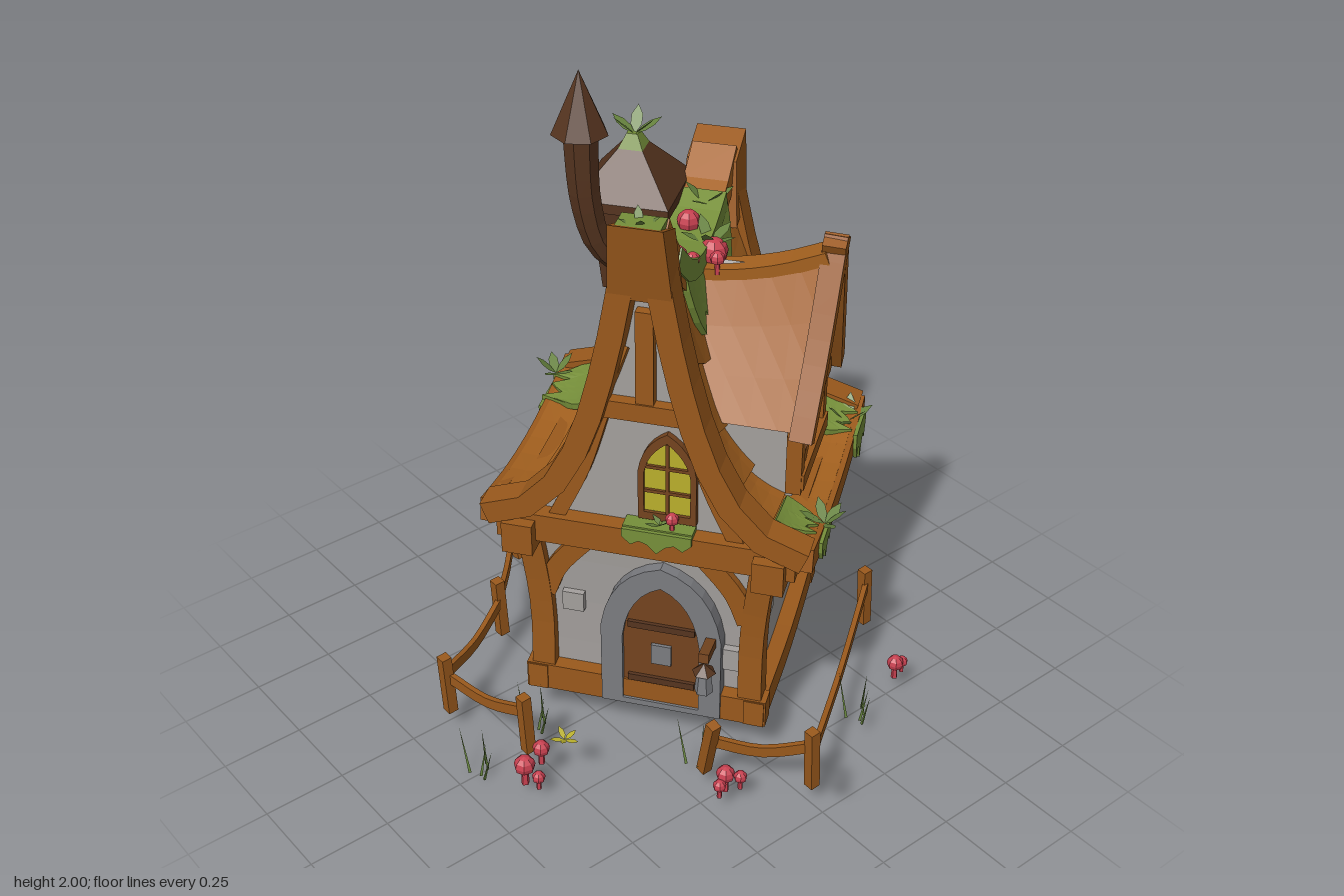
import * as THREE from 'three';

const V = (x, y, z) => new THREE.Vector3(x, y, z);
const X = V(1, 0, 0), Y = V(0, 1, 0), Z = V(0, 0, 1);
const mat = (name, color, side = THREE.FrontSide) => Object.assign(new THREE.MeshStandardMaterial({ color, side }), { name });

// Box whose vertices are moved by a rule; x, y, z run from -0.5 to 0.5
function warp(nx, ny, nz, fn) {
  const g = new THREE.BoxGeometry(1, 1, 1, nx, ny, nz), p = g.attributes.position;
  for (let i = 0; i < p.count; i++) p.setXYZ(i, ...fn(p.getX(i), p.getY(i), p.getZ(i)));
  return g;
}
// Rectangular beam along points; w is measured along the side axis
function sweep(pts, w, h, side = X) {
  const c = pts.length > 2 ? new THREE.CatmullRomCurve3(pts) : new THREE.LineCurve3(...pts);
  return warp(1, 1, pts.length > 2 ? 8 : 1, (x, y, z) => {
    const p = c.getPointAt(z + 0.5), t = c.getTangentAt(z + 0.5);
    const s = side.clone().addScaledVector(t, -side.dot(t)).normalize();
    const n = t.clone().cross(s);
    return p.addScaledVector(s, x * w).addScaledVector(n, y * h).toArray();
  });
}
const box = (w, h, d, x, y, z) => new THREE.BoxGeometry(w, h, d).translate(x, y, z);
const extrude = (shape, depth) => new THREE.ExtrudeGeometry(shape, { depth, bevelEnabled: false, curveSegments: 6 });
function arch(hw, y0, top, P = THREE.Shape) {
  const s = new P(), ys = y0 + (top - y0) * 0.55;
  s.moveTo(-hw, y0); s.lineTo(hw, y0); s.lineTo(hw, ys);
  s.quadraticCurveTo(hw * 0.85, top - 0.04, 0, top);
  s.quadraticCurveTo(-hw * 0.85, top - 0.04, -hw, ys);
  return s;
}
function oval(rx, ry, P = THREE.Shape) {
  const s = new P();
  s.absellipse(0, 0, rx, ry, 0, Math.PI * 2);
  return s;
}
const ring = (outer, hole, depth) => { outer.holes.push(hole); return extrude(outer, depth); };

// Sagging roof: ridge and eave heights, and a flared slope from t = 0 (ridge) to 1 (eave)
const ridgeY = x => 1.44 + (x < 0 ? 1.9 : 0.95) * x * x;
const eaveY = x => 0.76 + 0.3 * x * x;
function roofPoint(x, t, q, o = 0) {
  const r = ridgeY(x) - eaveY(x), k = 1 - t;
  const n = new THREE.Vector2(r * (1.8 * k + 0.1), 0.28 + 0.42 * t * t).normalize();
  return [x, eaveY(x) + r * (0.9 * k * k + 0.1 * k) + o * n.y, q * (0.03 + 0.28 * t + 0.14 * t ** 3 + o * n.x)];
}

export function createModel() {
  const wood = mat('timber', 0x9a591c), roofM = mat('roof planks', 0xa4611f), bark = mat('dark timber', 0x74441f);
  const rust = mat('chimney brown', 0x55341f), plaster = mat('plaster', 0xa4a09d), stone = mat('stone', 0x7b7c80);
  const moss = mat('moss', 0x768f3a), leafM = mat('leaf', 0x66823e, THREE.DoubleSide);
  const red = mat('mushroom red', 0xc84050), glass = mat('yellow glass', 0xbab02c, THREE.DoubleSide);

  const root = new THREE.Group();
  root.name = 'cottage';
  const group = (name, parent, x, z) => {
    const g = new THREE.Group();
    g.name = name; g.position.set(x, 0, z); parent.add(g);
    return g;
  };
  const house = group('house', root, 0.09, -0.015);
  house.rotation.y = 0.63;
  const base = group('groundFloor', house, 0.018, -0.01), dormer = group('dormer', house, 0.02, 0);
  const add = (name, geo, m, parent = house) => {
    const g = geo.index ? geo.toNonIndexed() : geo;
    g.computeVertexNormals();
    const o = new THREE.Mesh(g, m);
    o.name = name; parent.add(o);
  };
  const beam = (name, pts, w, h, side, m = wood, parent = house) => add(name, sweep(pts, w, h, side), m, parent);

  // Lower walls, floor, sills and corner posts
  add('walls', warp(1, 4, 1, (x, y, z) => {
    const k = 0.05 * (y + 0.5) ** 2;
    return [x * (0.67 + k), 0.46 + y * 0.62, z * (0.63 + k)];
  }), plaster, base);
  add('floor', box(0.7, 0.03, 0.66, 0, 0.15, 0), bark, base);
  for (const s of [-1, 1]) {
    beam('sill', [V(-0.385, 0.18, s * 0.33), V(0, 0.17, s * 0.335), V(0.385, 0.18, s * 0.33)], 0.06, 0.085, Z, wood, base);
    beam('gableSill', [V(s * 0.35, 0.18, -0.365), V(s * 0.35, 0.18, 0.365)], 0.06, 0.09, X, wood, base);
    beam('wallPlate', [V(-0.44, 0.74, s * 0.36), V(0.45, 0.74, s * 0.36)], 0.09, 0.1, Z);
    beam('gableTie', [V(s * 0.365, 0.765, -0.43), V(s * 0.365, 0.765, 0.43)], 0.08, 0.09, X);
    for (const q of [-1, 1]) {
      beam('cornerPost', [V(s * 0.34, 0.14, q * 0.315), V(s * 0.335, 0.45, q * 0.315), V(s * 0.355, 0.78, q * 0.35)], 0.07, 0.07, X, wood, base);
      if (s > 0) beam('crossBrace', [V(0.345, 0.22, q * 0.29), V(0.343 + q * 0.003, 0.47, 0), V(0.36, 0.73, -q * 0.31)], 0.04, 0.06, X, wood, base);
      else beam('kneeBrace', [V(-0.345, 0.5, q * 0.3), V(-0.348, 0.6, q * 0.26), V(-0.355, 0.73, q * 0.16)], 0.05, 0.06, X, wood, base);
    }
  }

  // Roof courses, eave boards, ridge cap
  const N = 5;
  for (const q of [-1, 1]) {
    for (let k = 0; k < N; k++)
      add('roofCourse', warp(8, 1, 3, (x, y, z) => {
        const a = 0.5 + q * z;
        return roofPoint(x * 0.74, (k + a * 1.06) / N, q, (y - 0.5) * 0.04 + a * 0.028);
      }), roofM);
    beam('eaveBoard', [-0.4, -0.2, 0, 0.2, 0.41].map(x => V(x, eaveY(x) - 0.01, q * 0.455)), 0.045, 0.07, Z);
  }
  beam('ridgeCap', [-0.4, -0.28, -0.14, 0, 0.14, 0.28, 0.4].map(x => V(x, ridgeY(x) + 0.005, 0)), 0.13, 0.08, Z, roofM);

  // Gables: wall, barge boards, ridge end blocks, framing
  for (const s of [-1, 1]) {
    const x = s * 0.385, f = s * 0.362, pts = [];
    for (let i = 0; i <= 8; i++) { const p = roofPoint(x, i / 8, 1, -0.03); pts.push(new THREE.Vector2(p[2], p[1])); }
    const shape = new THREE.Shape([...pts, new THREE.Vector2(0.35, 0.72), new THREE.Vector2(-0.35, 0.72),
      ...pts.map(p => new THREE.Vector2(-p.x, p.y)).reverse()]);
    add('gableWall', extrude(shape, 0.04).rotateY(-Math.PI / 2).translate(s * 0.335 + 0.02, 0, 0), plaster);
    const hi = s < 0 ? 0.23 : 0.19;
    add('ridgeEnd', warp(1, 1, 1, (a, y, z) => [x + a * 0.12 + s * y * 0.04,
      ridgeY(x) + 0.04 - hi / 2 + y * hi + s * a * 0.05, z * (0.16 - y * 0.03)]), wood);
    for (const q of [-1, 1]) {
      beam('bargeBoard', [0.02, 0.2, 0.4, 0.6, 0.8, 1.01].map(t => V(...roofPoint(x, t, q, 0))), 0.085, 0.068, X);
      // curved attic struts
      beam('atticStrut', s < 0
        ? [V(f, 0.8, q * 0.26), V(f, 0.98, q * 0.18), V(f, 1.18, q * 0.12)]
        : [V(f, 0.8, q * 0.09), V(f, 0.93, q * 0.12), V(f, 1.05, q * 0.18)], 0.045, 0.045, X);
    }
    const cy = s < 0 ? 1.19 : 1.05, cz = s < 0 ? 0.14 : 0.2;
    beam('collarBeam', [V(f, cy, -cz), V(f, cy, cz)], 0.055, 0.055, X);
    beam('kingPost', [V(f, cy, 0), V(f, 1.5, 0)], 0.045, 0.05, X);
  }

  // Door side: stone arch, door, arched window, lantern
  const face = group('doorFront', house, -0.32, 0);
  face.rotation.y = -Math.PI / 2;
  const F = (name, g, m, x, z = 0) => add(name, g.translate(x, 0, z), m, face);
  F('doorArch', ring(arch(0.18, 0.14, 0.66), arch(0.115, 0.16, 0.59, THREE.Path), 0.05), stone, 0.04);
  F('door', extrude(arch(0.125, 0.15, 0.6), 0.035), bark, 0.04);
  for (const y of [0.24, 0.44]) F('doorStrap', box(0.2, 0.022, 0.012, 0, y, 0.04), rust, 0.04);
  F('doorGrate', box(0.06, 0.07, 0.01, 0, 0.34, 0.04), stone, 0.04);
  F('windowGlass', extrude(arch(0.07, 0.85, 1.1), 0.03), glass, 0.06, 0.015);
  F('windowFrame', ring(arch(0.083, 0.835, 1.125), arch(0.066, 0.86, 1.095, THREE.Path), 0.04), bark, 0.06, 0.015);
  F('mullion', box(0.01, 0.24, 0.012, 0, 0.97, 0.032), bark, 0.06, 0.015);
  for (const y of [0.93, 1.01]) F('mullion', box(0.13, 0.01, 0.012, 0, y, 0.032), bark, 0.06, 0.015);
  beam('lanternBracket', [V(-0.32, 0.42, 0.19), V(-0.46, 0.44, 0.19)], 0.03, 0.03, Z, bark);
  add('lantern', new THREE.CylinderGeometry(0.02, 0.028, 0.07, 6).translate(-0.45, 0.35, 0.19), stone);
  add('lanternCap', new THREE.ConeGeometry(0.035, 0.03, 6).translate(-0.45, 0.4, 0.19), rust);

  // Dormer
  const pent = new THREE.Shape([[-0.165, 0.82], [0.165, 0.82], [0.165, 1.06], [0.185, 1.07], [0, 1.46], [-0.185, 1.07], [-0.165, 1.06]]
    .map(p => new THREE.Vector2(...p)));
  add('dormerWall', extrude(pent, 0.28).translate(0, 0, 0.085), plaster, dormer);
  const dormerTop = d => 1.41 + 0.6 * d * d;
  for (const q of [-1, 1]) {
    add('dormerRoof', warp(3, 1, 5, (x, y, z) => {
      const a = 0.5 + q * x, d = (z + 0.5) * 0.41, top = dormerTop(d), o = (y + 0.5) * 0.035;
      return [q * (0.2 * a + o * 0.85), top - (top - 1.06) * a ** 0.9 + o * 0.5, d];
    }), roofM, dormer);
    beam('dormerBarge', [V(-q * 0.015, 1.57, 0.425), V(q * 0.11, 1.28, 0.41), V(q * 0.225, 1.05, 0.395)], 0.065, 0.05, Z, wood, dormer);
    beam('dormerPost', [V(q * 0.16, 0.84, 0.37), V(q * 0.16, 1.07, 0.37)], 0.045, 0.045, Z, wood, dormer);
  }
  beam('dormerRidge', [0, 0.14, 0.28, 0.41].map(d => V(0, dormerTop(d) + 0.01, d)), 0.08, 0.04, X, roofM, dormer);
  beam('dormerCollar', [V(-0.19, 1.06, 0.375), V(0.19, 1.06, 0.375)], 0.05, 0.05, Z, wood, dormer);
  beam('dormerSill', [V(-0.18, 0.88, 0.375), V(0.18, 0.87, 0.375)], 0.05, 0.05, Z, wood, dormer);
  beam('dormerBrace', [V(-0.14, 0.9, 0.37), V(0.14, 1.04, 0.37)], 0.035, 0.04, Z, wood, dormer);
  add('dormerGlass', extrude(oval(0.062, 0.1), 0.009).translate(0, 1.23, 0.36), glass, dormer);
  add('dormerFrame', ring(oval(0.07, 0.108), oval(0.057, 0.095, THREE.Path), 0.025).translate(0, 1.23, 0.36), bark, dormer);
  add('dormerMullion', box(0.01, 0.19, 0.01, 0, 1.23, 0.373), bark, dormer);
  add('dormerMullion', box(0.11, 0.01, 0.01, 0, 1.23, 0.373), bark, dormer);

  // Square chimney with pyramid hat
  const frustum = (name, y0, y1, r0, r1, m, dx = 0) => add(name, new THREE.CylinderGeometry(r1 * Math.SQRT2, r0 * Math.SQRT2, y1 - y0, 4)
    .rotateY(Math.PI / 4).translate(0.2 + dx, (y0 + y1) / 2, -0.19), m);
  frustum('chimneyFoot', 0.94, 1.04, 0.09, 0.07, stone, 0.035);
  frustum('chimneyShaft', 1.0, 1.28, 0.062, 0.068, rust, 0.015);
  frustum('chimneyHead', 1.26, 1.54, 0.075, 0.1, rust);
  frustum('hatRim', 1.53, 1.56, 0.136, 0.136, rust);
  frustum('chimneyHat', 1.56, 1.71, 0.136, 0.015, rust);
  frustum('hatMoss', 1.655, 1.725, 0.05, 0.016, moss);

  // Bent stove pipe, widening upwards, with a cone cap
  const path = new THREE.CatmullRomCurve3([V(0.06, 1.36, -0.06), V(0.03, 1.4, -0.17), V(-0.01, 1.48, -0.23), V(-0.035, 1.62, -0.26), V(-0.04, 1.85, -0.27)]);
  const tube = new THREE.TubeGeometry(path, 12, 1, 7), tp = tube.attributes.position;
  for (let i = 0; i < tp.count; i++) {
    const k = Math.floor(i / 8) / 12, c = path.getPointAt(k);
    tp.setXYZ(i, ...V().fromBufferAttribute(tp, i).sub(c).multiplyScalar(0.032 + 0.018 * k).add(c).toArray());
  }
  add('stovePipe', tube, rust);
  add('pipeCap', new THREE.ConeGeometry(0.08, 0.18, 7).translate(-0.04, 1.91, -0.27), rust);

  // Raised stones on the walls: side, distance along it, height
  const bricks = [['z', -0.22, 0.47], ['z', -0.1, 0.63], ['z', 0.2, 0.46], ['z', 0.22, 0.31], ['b', -0.23, 0.3], ['b', 0.0, 0.33], ['b', 0.24, 0.32], ['b', 0.12, 0.62],
    ['x', 0.2, 0.42], ['x', 0.02, 0.31], ['x', -0.02, 0.65], ['x', -0.05, 0.97], ['d', -0.22, 0.47], ['d', 0.24, 0.35]];
  bricks.forEach(([side, a, y], i) => {
    const n = side === 'z' || side === 'x' ? 1 : -1, w = 0.064 + 0.01 * (i % 2);
    const along = side === 'z' || side === 'b';
    add('wallStone', along ? box(w, w, 0.04, a, y, n * 0.32) : box(0.045, w, w, n * 0.34, y, a), plaster, base);
  });

  // Moss on ridge, slopes and eaves
  beam('ridgeMoss', [-0.28, -0.14, 0, 0.13, 0.25].map(x => V(x, ridgeY(x) + 0.025, 0)), 0.14, 0.06, Z, moss);
  const patch = (x0, x1, t0, t1, q) => add('mossPatch', warp(7, 1, 4, (x, y, z) => {
    const a = 0.5 + q * z, e = 1 + 0.25 * Math.sin(x * 17 + x0 * 9);
    const xx = (x0 + x1) / 2 + x * (x1 - x0) * (1 - 0.35 * a * a);
    return roofPoint(xx, t0 + (t1 - t0) * a * e, q, 0.016 + (y + 0.5) * 0.02);
  }), moss);
  patch(-0.2, 0.27, 0, 0.12, 1);
  patch(0.2, 0.37, 0.8, 0.98, 1);
  patch(-0.32, -0.16, 0.82, 0.98, 1);
  patch(0.14, 0.36, 0.78, 1, -1);
  // Ragged hanging sheets
  const drape = (x, y, z, w, h, r) => add('mossDrape', warp(8, 1, 1, (a, b, c) =>
    [a * w, b > 0 ? 0 : -h * (0.25 + 0.75 * Math.abs(Math.cos(a * 8))) * (1 - a * a * 2), c * 0.012]).rotateY(r).translate(x, y, z), moss);
  drape(0.3, 0.81, 0.482, 0.16, 0.13, 0);
  drape(-0.25, 0.8, 0.482, 0.13, 0.09, 0);
  drape(0.25, 0.79, -0.482, 0.18, 0.08, 0);
  drape(-0.41, 0.82, 0.04, 0.2, 0.07, Math.PI / 2);
  drape(0.41, 0.815, 0, 0.12, 0.06, Math.PI / 2);
  add('doorMoss', box(0.05, 0.02, 0.2, -0.38, 0.815, 0.04), moss);
  add('blockMoss', box(0.08, 0.02, 0.12, -0.41, ridgeY(-0.385) + 0.045, 0), moss);

  // Sprouts, grass, mushrooms and flowers, in world positions
  const sprout = (x, y, z, n, r, m = leafM, tilt = 0.45) => {
    for (let i = 0; i < n; i++) {
      const s = new THREE.Shape();
      s.moveTo(0, 0); s.quadraticCurveTo(r * 0.4, r * 0.5, 0, r); s.quadraticCurveTo(-r * 0.4, r * 0.5, 0, 0);
      add('leaf', new THREE.ShapeGeometry(s, 3).rotateX(Math.PI / 2 - tilt - (i % 2) * 0.3).rotateY(i * Math.PI * 2 / n + x * 9).translate(x, y, z), m, root);
    }
  };
  for (const p of [[-0.24, 1.76, 0.22, 4, 0.06], [0.14, 1.72, -0.28, 6, 0.09], [0.6, 0.8, 0.16, 6, 0.09], [0.19, 0.8, 0.5, 6, 0.08],
    [0.28, 1.52, -0.13, 5, 0.09], [0.18, 1.48, 0.0, 5, 0.09], [0.02, 0.86, -0.53, 5, 0.08], [-0.2, 0.83, 0.25, 4, 0.05], [0.44, 0.82, -0.25, 5, 0.07]]) sprout(...p);
  sprout(-0.51, 0.18, 0.2, 5, 0.045, glass, 0.2);
  sprout(0.05, 0.07, 0.74, 5, 0.045, red, 0.2);
  sprout(0.08, 0.09, 0.71, 5, 0.04, stone, 0.2);
  for (const [x, z, y] of [[-0.68, 0.0, 0], [-0.47, 0.0, 0.06], [0.3, 0.57, 0.06], [0.54, -0.29, 0.08], [-0.2, 0.42, 0.06]])
    for (let i = 0; i < 5; i++) {
      const h = 0.09 + 0.035 * (i % 4);
      add('grassBlade', new THREE.ConeGeometry(0.005, h, 3).translate(0, h / 2, 0).rotateZ(0.08 + 0.08 * i)
        .rotateY(i * 2.4).translate(x + 0.03 * Math.cos(i * 2), y + 0.02 * (i % 2), z + 0.03 * Math.sin(i * 2)), leafM, root);
    }
  for (const [x, y, z, r] of [[-0.62, 0.11, 0.15, 0.032], [-0.56, 0.14, 0.15, 0.026], [-0.6, 0.08, 0.19, 0.02], [-0.2, 0.12, 0.55, 0.028], [-0.16, 0.1, 0.57, 0.02],
    [-0.23, 0.1, 0.56, 0.02], [0.52, 0.12, 0.51, 0.026], [0.55, 0.11, 0.51, 0.018], [0, 1.53, 0.07, 0.034], [0.17, 1.47, 0.03, 0.042], [0.17, 1.52, -0.08, 0.034],
    [0.06, 1.5, 0.07, 0.022], [0.14, 1.48, 0.08, 0.022], [-0.18, 0.86, 0.28, 0.02]]) {
    add('mushroomCap', new THREE.SphereGeometry(r, 7, 4, 0, Math.PI * 2, 0, Math.PI * 0.65).translate(x, y, z), red, root);
    add('mushroomStem', new THREE.CylinderGeometry(r * 0.3, r * 0.4, r * 2.4, 5).translate(x, y - r, z), red, root);
  }

  // Crooked fences
  for (const line of [[[-0.03, -0.73], [-0.3, -0.42], [-0.63, -0.22], [-0.55, 0.07]], [[-0.2, 0.48], [0, 0.7], [0.63, 0.26]]])
    line.forEach(([x, z], i) => {
      const lean = i ? 0 : Math.sign(z) * 0.025;
      beam('fencePost', [V(x, 0.07, z - lean), V(x - 0.01, 0.28, z + lean)], 0.032, 0.032, X, wood, root);
      if (!i) return;
      const [a, b] = line[i - 1];
      beam('fenceRail', [V(a, 0.2, b), V((a + x) / 2, 0.18, (b + z) / 2), V(x, 0.22, z)], 0.035, 0.016, Y, wood, root);
    });
  return root;
}
